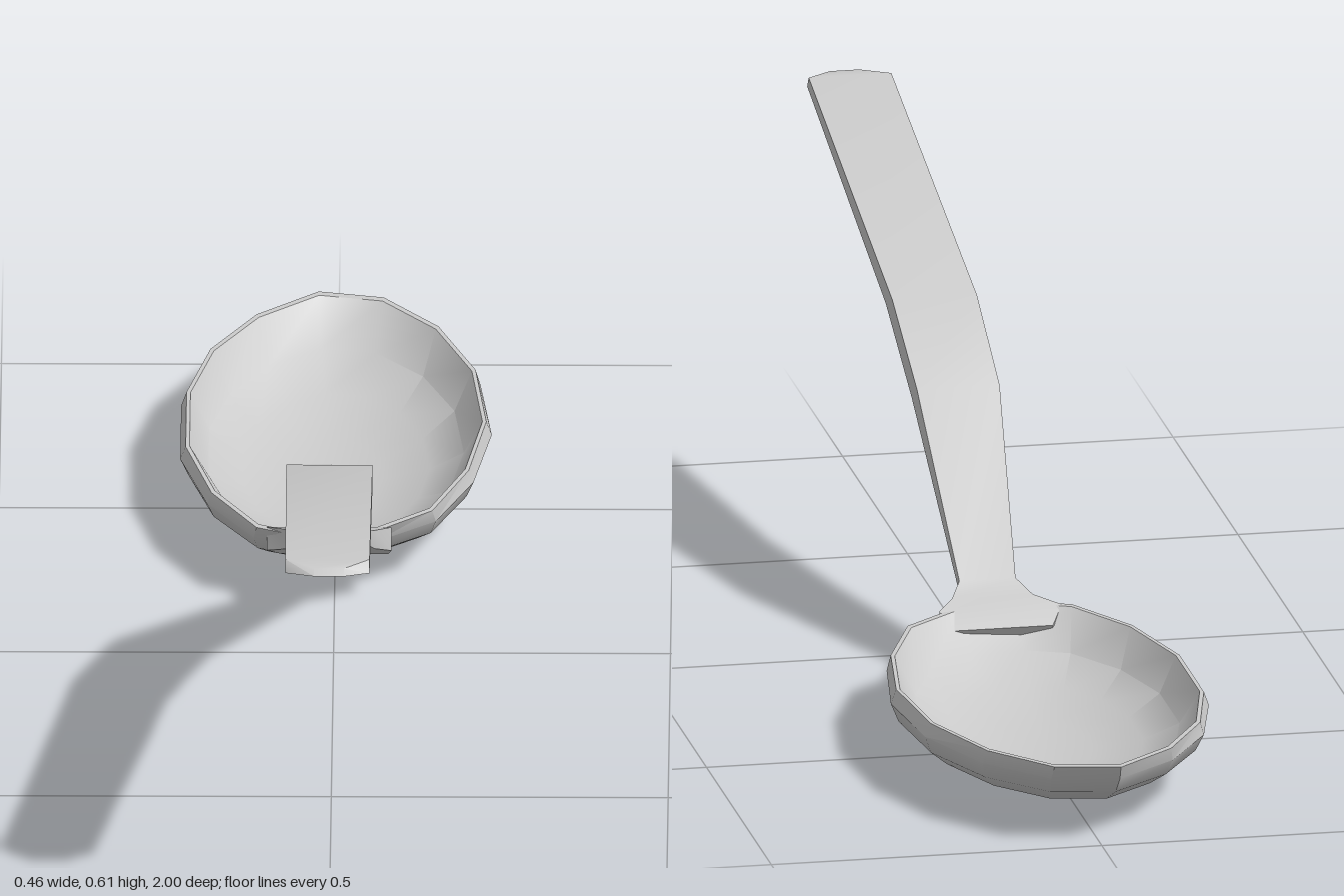
import * as THREE from 'three';
import { toCreasedNormals } from 'three/addons/utils/BufferGeometryUtils.js';

// Skin a list of equal-length rings of [x, y, z] points; both ends are closed.
function loft(rings, crease) {
  const n = rings[0].length;
  const centre = (r) => [0, 1, 2].map((k) => r.reduce((s, p) => s + p[k], 0) / n);
  const pos = rings.flat(2);
  const index = [];
  for (let i = 0; i < rings.length - 1; i++) {
    for (let j = 0; j < n; j++) {
      const k = (j + 1) % n;
      const a = i * n + j, b = i * n + k, c = b + n, d = a + n;
      index.push(a, b, c, a, c, d);
    }
  }
  const last = (rings.length - 1) * n;
  const start = rings.length * n;
  pos.push(...centre(rings[0]), ...centre(rings[rings.length - 1]));
  for (let j = 0; j < n; j++) {
    const k = (j + 1) % n;
    index.push(start, k, j, start + 1, last + j, last + k);
  }
  const geo = new THREE.BufferGeometry();
  geo.setAttribute('position', new THREE.Float32BufferAttribute(pos, 3));
  geo.setIndex(index);
  return toCreasedNormals(geo, crease);
}

export function createModel() {
  const spoon = new THREE.Group();
  spoon.name = 'spoon';
  const material = new THREE.MeshStandardMaterial({ color: 0xcccccc });
  const add = (name, geometry) => {
    const mesh = new THREE.Mesh(geometry, material);
    mesh.name = name;
    spoon.add(mesh);
  };

  // Bowl: plan outline [x, z], slightly irregular, seen from above
  const outline = [
    [0.06, -0.165], [0.15, -0.24], [0.205, -0.38], [0.231, -0.55], [0.213, -0.73],
    [0.155, -0.88], [0.07, -0.98], [-0.03, -1], [-0.125, -0.92], [-0.195, -0.8],
    [-0.231, -0.65], [-0.231, -0.46], [-0.19, -0.3], [-0.12, -0.18], [-0.04, -0.145],
  ];
  const bowlZ = -0.56;
  // Rings [x scale, z scale, y]: up the outside, over the rim, down the inside
  const levels = [
    [0.32, 0.32, 0.007], [0.6, 0.6, 0.022], [0.82, 0.8, 0.045], [0.95, 0.91, 0.07],
    [1, 0.97, 0.098], [0.965, 1, 0.12], [0.94, 0.97, 0.12],
    [0.82, 0.8, 0.068], [0.6, 0.58, 0.04], [0.3, 0.3, 0.023],
  ];
  const bowlRings = levels.map(([sx, sz, y]) =>
    outline.map(([x, z]) => [x * sx, y, bowlZ + (z - bowlZ) * sz]));
  // lowest point of the belly
  bowlRings.unshift(outline.map(([x, z]) => [x * 0.02, 0, bowlZ + (z - bowlZ) * 0.02]));
  add('bowl', loft(bowlRings, 0.6));

  // Handle: sections [left x, right x, top z, top y, bottom z, bottom y]
  const sections = [
    [-0.022, 0.022, 0.985, 0.604, 1, 0.598],
    [-0.065, 0.06, 0.955, 0.605, 0.967, 0.588],
    [-0.068, 0.06, 0.31, 0.455, 0.36, 0.434],
    [-0.067, 0.058, 0.13, 0.37, 0.17, 0.345],
    [-0.043, 0.042, -0.115, 0.146, -0.125, 0.122],
    [-0.062, 0.06, -0.15, 0.13, -0.15, 0.1],
    [-0.1, 0.085, -0.18, 0.121, -0.175, 0.085],
    [-0.08, 0.08, -0.215, 0.1, -0.195, 0.07],
  ];
  add('handle', loft(sections.map(([l, r, tz, ty, bz, by]) =>
    [[l, ty, tz], [r, ty, tz], [r, by, bz], [l, by, bz]]), 0.7));

  return spoon;
}
